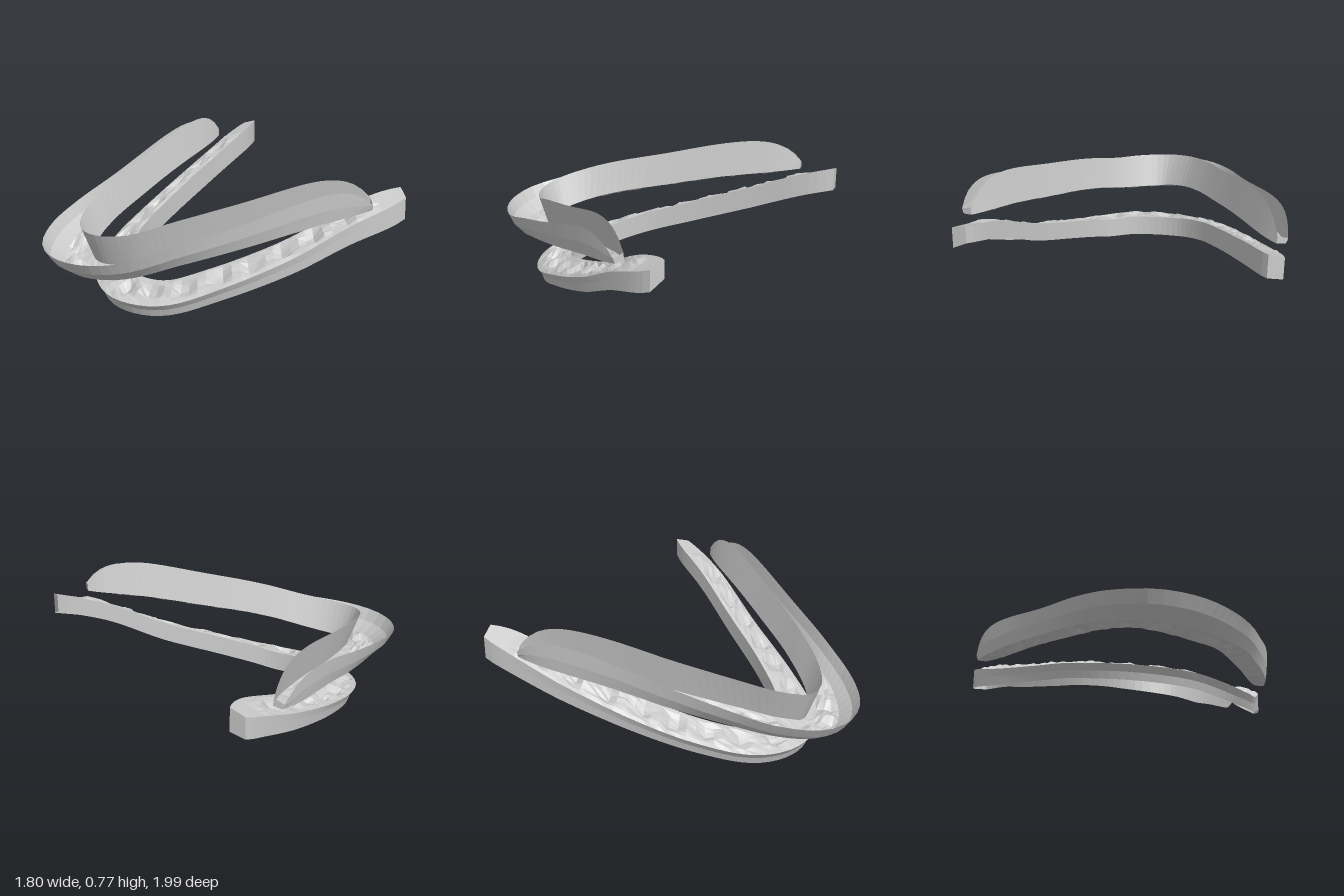
import * as THREE from 'three';

const material = new THREE.MeshStandardMaterial({ color: 0xcccccc, flatShading: true, side: THREE.DoubleSide });
const SEGMENTS = 72, ACROSS = 8, TEETH = 16;

// Small repeatable hash for uneven gum surface, in -1..1
const noise = (i, j) => {
  const s = Math.sin(i * 12.99 + j * 78.23) * 43758.55;
  return (s - Math.floor(s)) * 2 - 1;
};

// 1 along the arch, falling to "end" at both tips
const taper = (t, end, power) => 1 - (1 - end) * Math.abs(2 * t - 1) ** power;
// 0 at the tips, 1 at the front of the arch
const front = (t) => Math.sin(Math.PI * t);

// Joins rows of points into one surface
function surface(name, rows, flip) {
  const n = rows[0].length, index = [];
  for (let i = 0; i < rows.length - 1; i++) {
    for (let j = 0; j < n - 1; j++) {
      const a = i * n + j, b = a + 1, c = a + n, d = c + 1;
      if (flip) index.push(a, b, c, b, d, c);
      else index.push(a, c, b, b, c, d);
    }
  }
  const geometry = new THREE.BufferGeometry().setFromPoints(rows.flat());
  geometry.setIndex(index);
  geometry.computeVertexNormals();
  const mesh = new THREE.Mesh(geometry, material);
  mesh.name = name;
  return mesh;
}

// A gum: a trough along an arch, with a socketed bed and a wall along each edge.
// The spine is the bed's middle line; bed and edge sizes are measured out from it.
function makeGum(name, { spine, outerBedWidth, outerEdgeWidth, innerBedWidth, innerEdgeWidth,
  tilt, outerHeight, innerHeight, depth, flip }) {
  const gum = new THREE.Group();
  gum.name = name;
  const curve = new THREE.CatmullRomCurve3(spine.map((p) => new THREE.Vector3(...p)), false, 'centripetal');

  const outerWall = [], innerWall = [], bed = [], ends = [];
  // Socket centres along the middle of the bed
  const sockets = [];
  for (let k = 0; k < TEETH; k++) sockets.push(curve.getPointAt(0.1 + 0.8 * k / (TEETH - 1) + noise(k, 3) * 0.006));

  for (let i = 0; i <= SEGMENTS; i++) {
    const t = i / SEGMENTS, centre = curve.getPointAt(t), along = curve.getTangentAt(t);
    const outward = new THREE.Vector3(-along.z, 0, along.x).normalize();
    const place = (side, rise) => {
      const p = centre.clone().addScaledVector(outward, side);
      p.y += rise;
      return p;
    };
    const slope = tilt * innerBedWidth(t);
    const outerBed = place(outerBedWidth(t), -slope);
    const innerBed = place(-innerBedWidth(t), slope);
    const outerEdge = place(outerEdgeWidth(t), outerHeight(t) - slope);
    const innerEdge = place(-innerEdgeWidth(t), innerHeight(t) + slope);

    // Outer wall curves up from the bed
    const bend = place(THREE.MathUtils.lerp(outerBedWidth(t), outerEdgeWidth(t), 0.65), 0.45 * outerHeight(t) - slope);
    outerWall.push([outerEdge, bend, outerBed]);
    innerWall.push([innerBed, innerEdge]);
    if (i % SEGMENTS === 0) ends.push([[outerEdge, innerEdge], [outerBed, innerBed]]);

    // Bed between the walls, dented at every socket
    const row = [];
    for (let j = 0; j <= ACROSS; j++) {
      const q = outerBed.clone().lerp(innerBed, j / ACROSS);
      if (j > 0 && j < ACROSS && i > 3 && i < SEGMENTS - 3) {
        const near = Math.min(...sockets.map((s) => s.distanceTo(q)));
        q.y += depth * Math.max(0, 1 - (near / 0.065) ** 2) + noise(i, j) * 0.007;
        q.y -= depth * 0.3 * Math.sin(Math.PI * j / ACROSS);
      }
      row.push(q);
    }
    bed.push(row);
  }
  gum.add(surface('socketBed', bed, flip));
  gum.add(surface('outerWall', outerWall, flip));
  gum.add(surface('innerWall', innerWall, flip));
  gum.add(surface('rightEnd', ends[0], flip));
  gum.add(surface('leftEnd', ends[1], !flip));
  return gum;
}

export function createModel() {
  const model = new THREE.Group();
  model.name = 'gums';

  // Lower gum: bed on top, short walls hanging down
  const lowerWidth = (t) => (0.08 + 0.025 * front(t - 0.06) ** 8) * taper(t, 0.55, 20);
  model.add(makeGum('lowerGum', {
    spine: [
      [-0.665, 0.66, -1], [-0.675, 0.615, -0.86], [-0.725, 0.465, -0.5], [-0.75, 0.315, -0.1],
      [-0.73, 0.22, 0.19], [-0.65, 0.145, 0.42], [-0.515, 0.11, 0.56], [-0.34, 0.1, 0.63],
      [-0.125, 0.115, 0.6], [0.125, 0.21, 0.44], [0.415, 0.36, 0.185], [0.66, 0.54, -0.06],
      [0.855, 0.645, -0.275],
    ],
    outerBedWidth: lowerWidth,
    outerEdgeWidth: (t) => lowerWidth(t) - 0.04 * front(t) ** 2,
    innerBedWidth: lowerWidth,
    innerEdgeWidth: lowerWidth,
    tilt: 0.35,
    outerHeight: (t) => -0.125 + 0.055 * front(t),
    innerHeight: (t) => -0.14 + 0.035 * t,
    depth: -0.045,
    flip: false,
  }));

  // Upper gum: bed underneath, tall walls rising from it and dying out at the tips
  const flare = (t) => front(t + 0.02) ** 10;
  const upperWidth = (t) => (0.067 + 0.037 * front(t) ** 2) * taper(t, 0.4, 14);
  model.add(makeGum('upperGum', {
    spine: [
      [-0.778, 0.6, -0.78], [-0.785, 0.51, -0.3], [-0.79, 0.425, 0.05], [-0.775, 0.35, 0.38],
      [-0.73, 0.29, 0.6], [-0.63, 0.245, 0.76], [-0.48, 0.235, 0.815], [-0.255, 0.26, 0.775],
      [-0.005, 0.345, 0.625], [0.28, 0.44, 0.395], [0.555, 0.54, 0.15], [0.778, 0.6, -0.058],
    ],
    outerBedWidth: (t) => 0.06 * taper(t, 0.4, 14),
    outerEdgeWidth: (t) => upperWidth(t) + 0.01 + 0.065 * flare(t),
    innerBedWidth: upperWidth,
    innerEdgeWidth: (t) => upperWidth(t) - (0.04 + 0.03 * flare(t)) * taper(t, 0.1, 14),
    tilt: 0.14,
    outerHeight: (t) => (0.2 - 0.085 * front(t)) * taper(t, 0.15, 14),
    innerHeight: (t) => (0.22 - 0.035 * front(t)) * taper(t, 0.2, 14),
    depth: 0.045,
    flip: true,
  }));
  return model;
}
